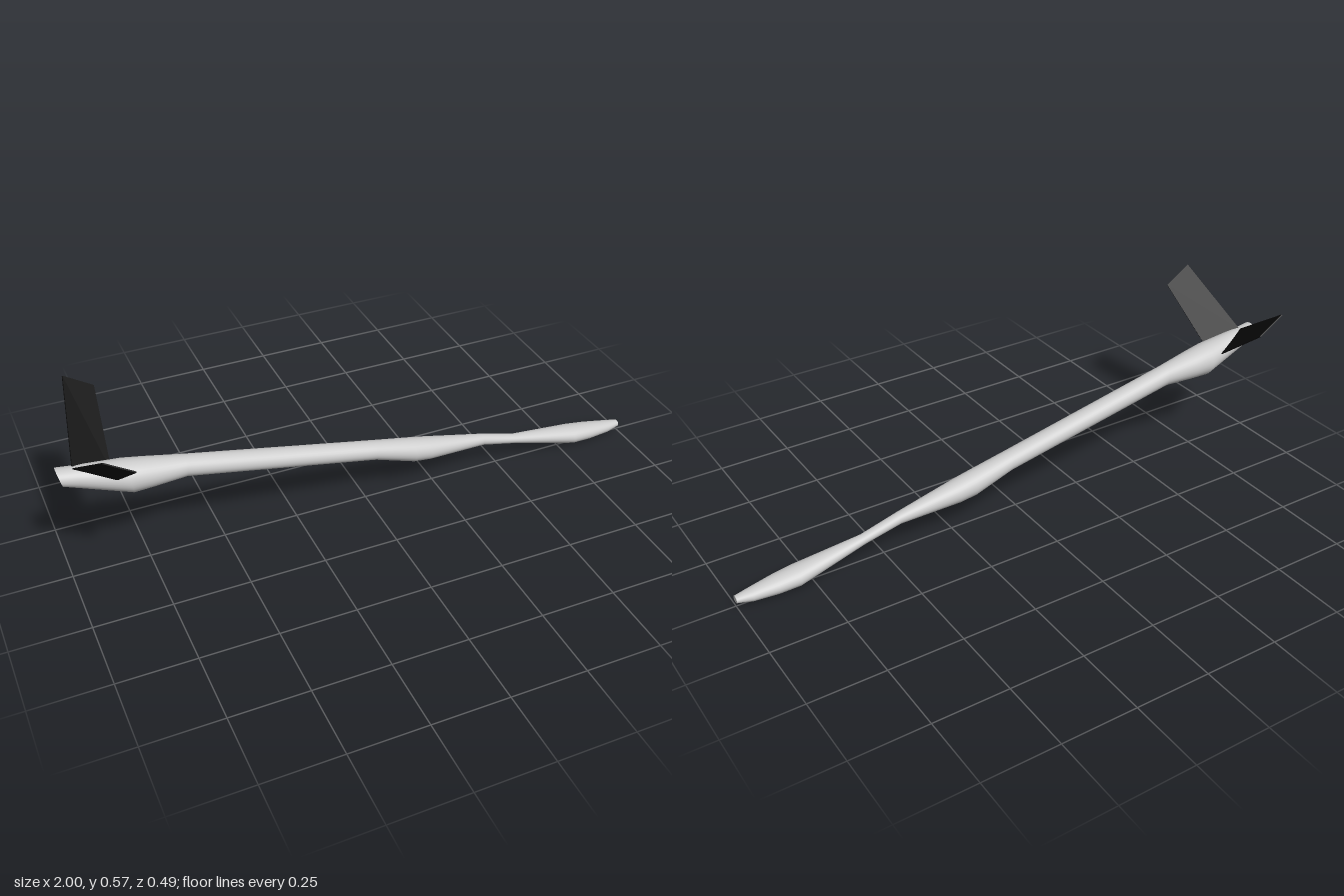
import * as THREE from 'three';

const bodyGrey = new THREE.MeshStandardMaterial({ color: 0xcccccc, side: THREE.DoubleSide });
bodyGrey.name = 'body grey';
const finBlack = new THREE.MeshStandardMaterial({ color: 0x0d0d0d, side: THREE.DoubleSide });
finBlack.name = 'fin black';

// Fuselage sections: [top x, top y, bottom x, bottom y, half width]
const SECTIONS = [
  [-1.0, 0.417, -0.985, 0.358, 0.034],
  [-0.94, 0.409, -0.94, 0.339, 0.036],
  [-0.8, 0.39, -0.78, 0.278, 0.057],
  [-0.73, 0.377, -0.72, 0.279, 0.051],
  [-0.61, 0.353, -0.61, 0.283, 0.037],
  [0.03, 0.22, 0.03, 0.156, 0.037],
  [0.17, 0.191, 0.17, 0.108, 0.043],
  [0.23, 0.178, 0.23, 0.101, 0.042],
  [0.44, 0.133, 0.44, 0.094, 0.021],
  [0.57, 0.097, 0.57, 0.064, 0.019],
  [0.8, 0.068, 0.8, 0.005, 0.043],
  [0.87, 0.059, 0.87, 0.002, 0.038],
  [0.95, 0.046, 0.95, 0.005, 0.026],
  [1.0, 0.038, 1.0, 0.016, 0.014],
];

// Smooth oval tube through the sections
function loft(sections, sides) {
  const positions = [], index = [];
  for (const [xt, yt, xb, yb, w] of sections) {
    for (let i = 0; i < sides; i++) {
      const a = (i / sides) * Math.PI * 2, c = Math.cos(a);
      positions.push((xt + xb) / 2 + c * (xt - xb) / 2, (yt + yb) / 2 + c * (yt - yb) / 2, w * Math.sin(a));
    }
  }
  for (let s = 0; s < sections.length - 1; s++) {
    for (let i = 0; i < sides; i++) {
      const j = (i + 1) % sides, p = s * sides, q = p + sides;
      index.push(p + i, p + j, q + i, p + j, q + j, q + i);
    }
  }
  const geo = new THREE.BufferGeometry();
  geo.setAttribute('position', new THREE.Float32BufferAttribute(positions, 3));
  geo.setIndex(index);
  geo.computeVertexNormals();
  return geo;
}

// Thin slanted plate with four corners, side = +1 or -1 in z
function finGeometry(side) {
  const corners = [
    [-0.95, 0.405, 0], [-0.9, 0.575, 0.246], [-0.81, 0.518, 0.246], [-0.832, 0.341, 0.022],
  ].map(([x, y, z]) => new THREE.Vector3(x, y, z * side));
  const n = new THREE.Vector3().crossVectors(
    corners[2].clone().sub(corners[0]), corners[3].clone().sub(corners[1])).normalize();
  const upper = corners.map(p => p.clone().addScaledVector(n, 0.002));
  const lower = corners.map(p => p.clone().addScaledVector(n, -0.002));
  const tris = [];
  const quad = (a, b, c, d) => tris.push(a, b, c, a, c, d);
  quad(...upper);
  quad(...[...lower].reverse());
  for (let i = 0; i < 4; i++) {
    const j = (i + 1) % 4;
    quad(lower[i], lower[j], upper[j], upper[i]);
  }
  const geo = new THREE.BufferGeometry().setFromPoints(tris);
  geo.computeVertexNormals();
  return geo;
}

export function createModel() {
  const model = new THREE.Group();
  model.name = 'vTailBody';
  const add = (name, geo, mat) => {
    const mesh = new THREE.Mesh(geo, mat);
    mesh.name = name;
    model.add(mesh);
    return mesh;
  };

  // Slender body, open at the tail
  add('fuselage', loft(SECTIONS, 32), bodyGrey);

  // Flat nose tip
  const [x, top, , bottom, w] = SECTIONS[SECTIONS.length - 1];
  const cap = add('noseCap', new THREE.CircleGeometry(1, 32), bodyGrey);
  cap.rotation.y = Math.PI / 2;
  cap.scale.set(w, (top - bottom) / 2, 1);
  cap.position.set(x, (top + bottom) / 2, 0);

  // V tail
  add('frontTailFin', finGeometry(1), finBlack);
  add('backTailFin', finGeometry(-1), finBlack);
  return model;
}
